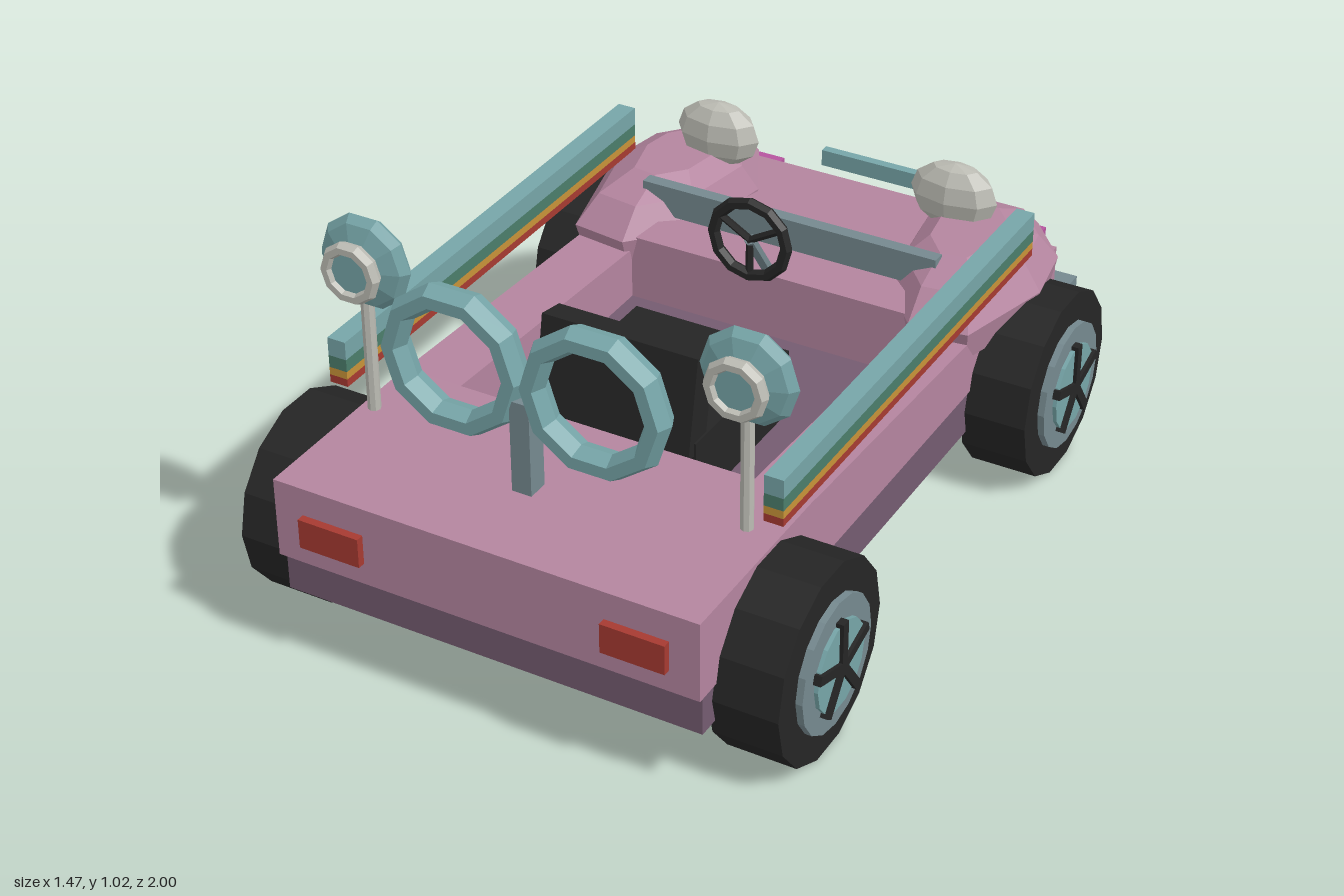
import * as THREE from 'three';
import { ConvexGeometry } from 'three/addons/geometries/ConvexGeometry.js';

const paint = (name, color) => {
  const m = new THREE.MeshStandardMaterial({ color });
  m.name = name;
  return m;
};

export function createModel() {
  const pink = paint('pink', 0xb4859f), plum = paint('plum', 0x745b70);
  const teal = paint('teal', 0x76a5a8), slate = paint('slate', 0x75898f);
  const pale = paint('pale grey', 0xbcbcb4), black = paint('black', 0x252525);
  const red = paint('red', 0xa63a31), magenta = paint('magenta', 0xb6559f);
  const orange = paint('orange', 0xc79238), green = paint('green', 0x4b7d6b);

  const root = new THREE.Group();
  root.name = 'buggy';

  // Every surface is faceted, so normals are taken per face
  const add = (name, geo, mat, x = 0, y = 0, z = 0, parent = root) => {
    const g = geo.index ? geo.toNonIndexed() : geo;
    g.computeVertexNormals();
    const mesh = new THREE.Mesh(g, mat);
    mesh.name = name;
    mesh.position.set(x, y, z);
    parent.add(mesh);
    return mesh;
  };
  // Box given by its limits on each axis
  const box = (name, mat, x0, x1, y0, y1, z0, z1, parent) =>
    add(name, new THREE.BoxGeometry(x1 - x0, y1 - y0, z1 - z0), mat,
      (x0 + x1) / 2, (y0 + y1) / 2, (z0 + z1) / 2, parent);
  // Side profile of [z, y] points extruded across x
  const slab = (name, mat, points, x0, x1) => {
    const shape = new THREE.Shape(points.map(([z, y]) => new THREE.Vector2(z, y)));
    const geo = new THREE.ExtrudeGeometry(shape, { depth: x1 - x0, bevelEnabled: false });
    geo.rotateY(-Math.PI / 2);
    return add(name, geo, mat, x1, 0, 0);
  };
  // Cylinder between two points
  const rod = (name, mat, a, b, r, sides = 6, parent = root) => {
    const p = new THREE.Vector3(...a), d = new THREE.Vector3(...b).sub(p);
    const mesh = add(name, new THREE.CylinderGeometry(r, r, d.length(), sides), mat, 0, 0, 0, parent);
    mesh.position.copy(p).addScaledVector(d, 0.5);
    mesh.quaternion.setFromUnitVectors(new THREE.Vector3(0, 1, 0), d.normalize());
    return mesh;
  };

  // Chassis and body
  box('chassis', plum, -0.54, 0.54, 0.18, 0.315, -0.88, 0.96);
  box('rearDeck', pink, -0.545, 0.545, 0.285, 0.49, 0.455, 0.98);
  slab('hood', pink, [[-0.34, 0.3], [-0.34, 0.49], [-0.40, 0.515], [-0.93, 0.455], [-0.97, 0.3]], -0.48, 0.48);
  for (const s of [-1, 1]) {
    slab('sideWall', pink, [[0.46, 0.3], [0.46, 0.488], [-0.38, 0.45], [-0.88, 0.45], [-0.88, 0.3]],
      s > 0 ? 0.39 : -0.545, s > 0 ? 0.545 : -0.39);
  }

  // Bulging fenders: one outline scaled at four heights
  const outline = [[0.40, -0.31], [0.55, -0.33], [0.62, -0.60], [0.59, -0.78],
    [0.48, -0.91], [0.33, -0.91], [0.23, -0.72], [0.27, -0.46]];
  const levels = [[0.40, 0.92], [0.485, 1], [0.555, 0.78], [0.597, 0.45]];
  for (const s of [-1, 1]) {
    const pts = [];
    for (const [y, k] of levels)
      for (const [x, z] of outline)
        pts.push(new THREE.Vector3(s * (0.40 + (x - 0.40) * k), y, -0.62 + (z + 0.62) * k));
    add('fender', new ConvexGeometry(pts), pink);
  }

  // Eyes on the fenders
  for (const s of [-1, 1]) {
    const eye = new THREE.SphereGeometry(1, 8, 6);
    eye.scale(0.118, 0.088, 0.062);
    add('eye', eye, pale, s * 0.335, 0.637, -0.695);
    const pupil = new THREE.SphereGeometry(1, 8, 6);
    pupil.scale(0.046, 0.046, 0.03);
    add('pupil', pupil, black, s * 0.335, 0.628, -0.75);
  }

  // Nose and tail fittings
  box('bumper', slate, -0.56, 0.56, 0.225, 0.305, -1.0, -0.925);
  box('noseStrip', teal, -0.17, 0.17, 0.455, 0.5, -0.99, -0.965);
  box('windshieldBar', slate, -0.41, 0.41, 0.517, 0.6, -0.47, -0.435);
  for (const s of [-1, 1]) {
    const span = (a, b) => (s > 0 ? [a, b] : [-b, -a]);
    box('headlight', magenta, ...span(0.3, 0.465), 0.35, 0.425, -1.0, -0.95);
    box('tailLight', red, ...span(0.31, 0.47), 0.342, 0.418, 0.97, 1.0);
    // Striped side rails
    const rail = new THREE.Group();
    rail.name = 'stripedRail';
    root.add(rail);
    [[teal, 0.645, 0.692], [green, 0.613, 0.645], [orange, 0.593, 0.613], [red, 0.573, 0.593]]
      .forEach(([mat, y0, y1]) => box('stripe', mat, ...span(0.538, 0.586), y0, y1, -0.615, 0.69, rail));
  }

  // Seat with a padded back
  box('seatCushion', black, -0.21, 0.21, 0.31, 0.49, -0.055, 0.4);
  const back = new THREE.Group();
  back.name = 'seatBack';
  back.position.set(0, 0.575, 0.365);
  back.rotation.x = -0.18;
  root.add(back);
  box('backFrame', black, -0.205, 0.205, -0.125, 0.125, -0.038, 0.038, back);
  box('backPad', plum, -0.16, 0.16, -0.085, 0.095, -0.044, -0.036, back);

  // Steering wheel and column
  const steering = new THREE.Group();
  steering.name = 'steeringWheel';
  steering.position.set(0, 0.64, -0.245);
  root.add(steering);
  add('wheelRim', new THREE.TorusGeometry(0.1, 0.016, 6, 12), black, 0, 0, 0, steering);
  for (let i = 0; i < 3; i++) {
    const a = -Math.PI / 2 + i * Math.PI * 2 / 3;
    rod('wheelSpoke', black, [0, 0, 0], [0.1 * Math.cos(a), 0.1 * Math.sin(a), 0], 0.01, 5, steering);
  }
  rod('steeringColumn', slate, [0, 0.64, -0.245], [0, 0.48, -0.36], 0.015);

  // Road wheels: tyre, rim, disc and five spokes
  for (const s of [-1, 1]) {
    for (const z of [0.676, -0.602]) {
      const wheel = new THREE.Group();
      wheel.name = 'wheel';
      wheel.position.set(0, 0.243, z);
      if (s < 0) wheel.rotation.y = Math.PI;
      root.add(wheel);
      const disc = (name, mat, r, x0, x1, sides) => {
        const geo = new THREE.CylinderGeometry(r, r, x1 - x0, sides);
        geo.rotateZ(-Math.PI / 2);
        add(name, geo, mat, (x0 + x1) / 2, 0, 0, wheel);
      };
      disc('tyre', black, 0.243, 0.528, 0.7, 14);
      disc('rim', slate, 0.165, 0.69, 0.717, 16);
      disc('hubDisc', teal, 0.112, 0.7, 0.727, 14);
      for (let i = 0; i < 5; i++) {
        const spoke = new THREE.BoxGeometry(0.02, 0.12, 0.024);
        spoke.translate(0, 0.06, 0);
        add('spoke', spoke, black, 0.726, 0, 0, wheel).rotation.x = i * Math.PI * 2 / 5;
      }
    }
  }

  // Lamps on posts
  for (const s of [-1, 1]) {
    const x = s * 0.485, y = 0.907;
    rod('lampPost', pale, [x, 0.52, 0.665], [x, 0.82, 0.665], 0.016, 8);
    const shell = new THREE.SphereGeometry(1, 10, 6);
    shell.rotateX(Math.PI / 2);
    shell.scale(0.12, 0.12, 0.042);
    add('lampShell', shell, teal, x, y, 0.66);
    const ring = new THREE.TorusGeometry(0.062, 0.016, 6, 10);
    ring.scale(1, 1, 1.2);
    add('lampRing', ring, pale, x, y, 0.72);
    rod('lampLens', teal, [x, y, 0.68], [x, y, 0.725], 0.054, 10);
  }

  // Twin hoops on a post
  box('hoopPost', slate, -0.025, 0.025, 0.53, 0.765, 0.75, 0.805);
  for (const s of [-1, 1]) {
    const hoop = new THREE.TorusGeometry(0.156, 0.031, 6, 10);
    hoop.scale(1, 1, 1.3);
    add('hoop', hoop, teal, s * 0.178, 0.808, 0.777);
  }
  return root;
}
